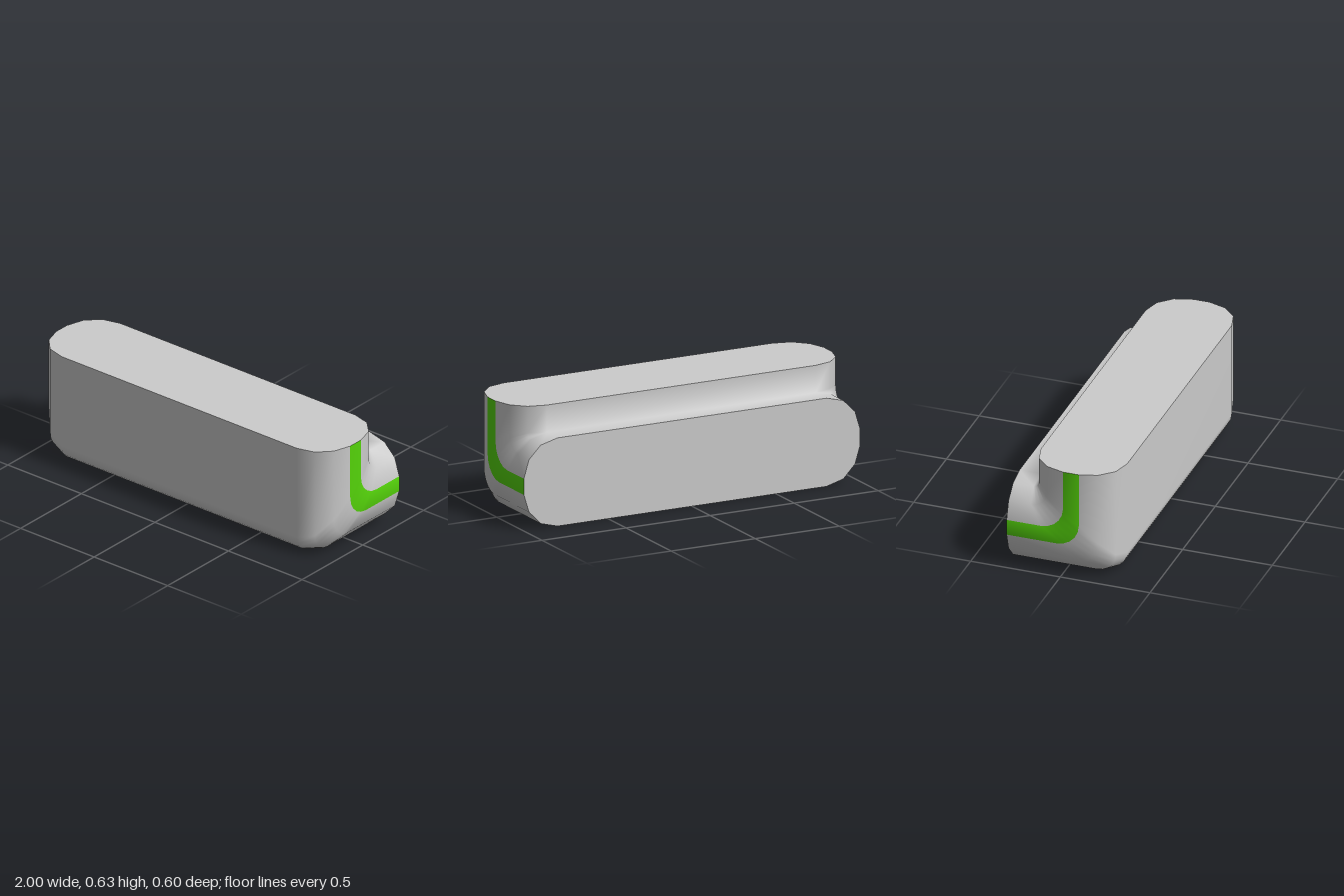
import * as THREE from 'three';

const TOP = 0.63, FRONT = 0.3, BACK = -0.3, ARC = 5;

// Half cross-section: [x, distance from the outer wall, bend radius there]
const HALF = [
  [0.8, 0, 0.1], [0.9, 0.027, 0.105], [0.97, 0.1, 0.12], [1, 0.197, 0.127],
  [1, 0.285, 0.125], [0.97, 0.385, 0.09], [0.9, 0.455, 0.03], [0.8, 0.481, 0],
];
const SECTION = [...HALF, ...HALF.map(([x, d, r]) => [-x, d, r]).reverse()];
const N = SECTION.length, ROWS = ARC + 3;

// Point on the elbow: straight down from the top, round the bend, out to the back
function elbowPoint([x, d, r], row) {
  if (row === 0) return [x, TOP, FRONT - d];
  if (row === ROWS - 1) return [x, d, BACK];
  const a = ((row - 1) / ARC) * Math.PI / 2;
  return [x, d + r - r * Math.sin(a), FRONT - d - r + r * Math.cos(a)];
}

// Index of a vertex; where the bend radius is zero the corner is one shared vertex
function vertexIndex(row, i) {
  i %= N;
  const sharp = SECTION[i][2] === 0 && row > 0 && row < ROWS - 1;
  return (sharp ? 1 : row) * N + i;
}

function buildGeometry(positions, index) {
  const g = new THREE.BufferGeometry();
  g.setAttribute('position', new THREE.Float32BufferAttribute(positions, 3));
  g.setIndex(index);
  g.computeVertexNormals();
  return g;
}

// Flat end face closing one end of the sweep
function endCap(row, flip) {
  const index = [];
  for (let i = 1; i < N - 1; i++) index.push(0, flip ? i + 1 : i, flip ? i : i + 1);
  return buildGeometry(SECTION.flatMap((s) => elbowPoint(s, row)), index);
}

export function createModel() {
  const group = new THREE.Group();
  group.name = 'ductElbow';
  const grey = new THREE.MeshStandardMaterial({ color: 0xcccccc });
  const green = new THREE.MeshStandardMaterial({ color: 0x55d40a });
  const add = (name, geometry, material) => {
    const mesh = new THREE.Mesh(geometry, material);
    mesh.name = name;
    group.add(mesh);
  };

  // Swept wall, sorted into grey shell and the green stripe on each side
  const positions = [];
  for (let row = 0; row < ROWS; row++) {
    for (const s of SECTION) positions.push(...elbowPoint(s, row));
  }
  const shell = [], leftStripe = [], rightStripe = [];
  for (let row = 0; row < ROWS - 1; row++) {
    for (let i = 0; i < N; i++) {
      const target = i === 3 ? leftStripe : i === N - 5 ? rightStripe : shell;
      const a = vertexIndex(row, i), b = vertexIndex(row + 1, i);
      const c = vertexIndex(row + 1, i + 1), d = vertexIndex(row, i + 1);
      if (a !== b) target.push(a, b, d);
      if (c !== d) target.push(b, c, d);
    }
  }

  // Smooth normals are worked out over the whole wall, then shared by its parts
  const whole = buildGeometry(positions, [...shell, ...leftStripe, ...rightStripe]);
  const part = (index) => {
    const g = whole.clone();
    g.setIndex(index);
    return g;
  };
  add('elbowShell', part(shell), grey);
  add('leftStripe', part(leftStripe), green);
  add('rightStripe', part(rightStripe), green);

  // Closed ends
  add('topEnd', endCap(0, false), grey);
  add('backEnd', endCap(ROWS - 1, true), grey);
  return group;
}
